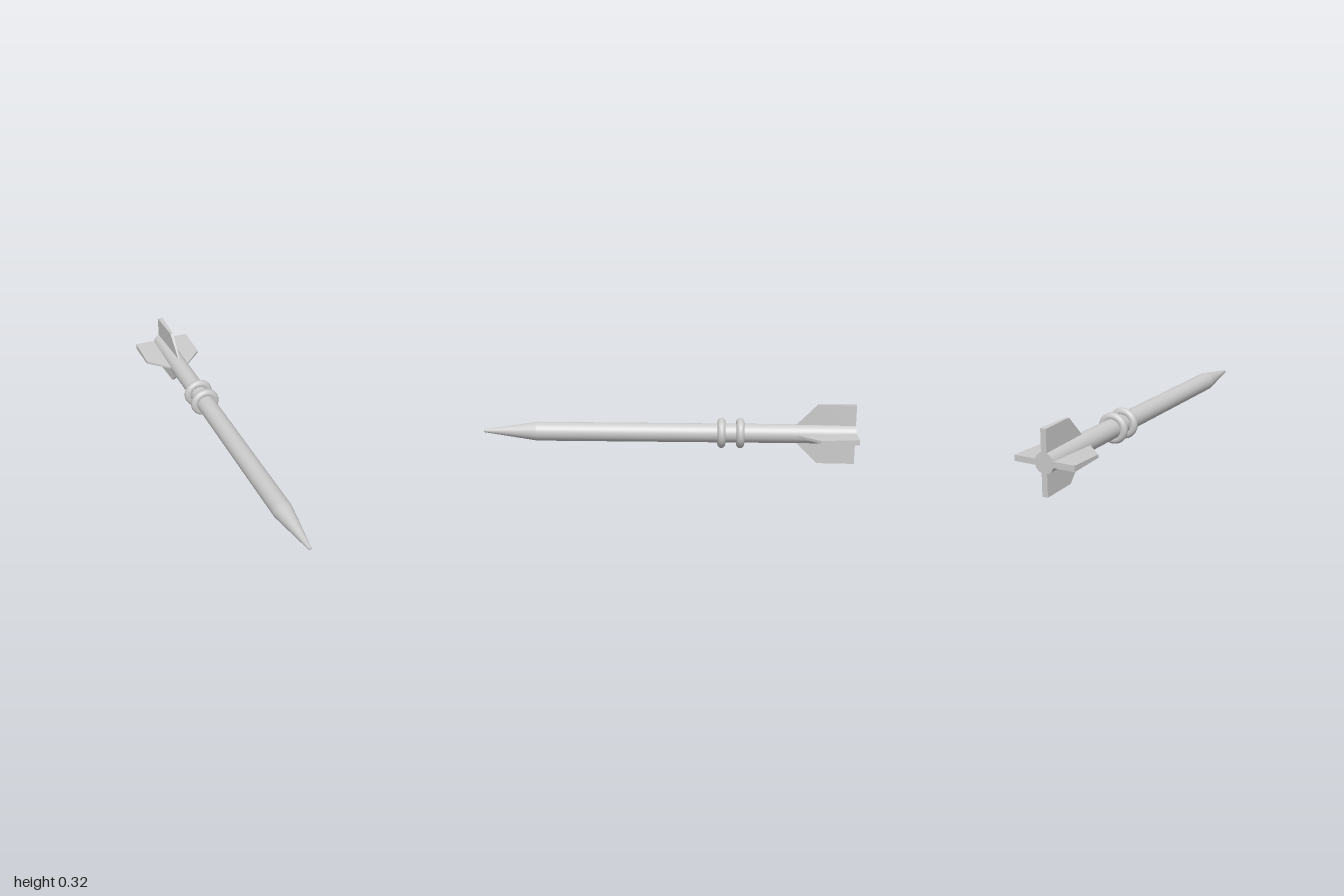
import * as THREE from 'three';

export function createModel() {
  const model = new THREE.Group();
  model.name = 'missile';
  const material = new THREE.MeshStandardMaterial({ color: 0xcccccc });
  const axisY = 0.1625;
  const bodyRadius = 0.051;

  const add = (name, geometry, z = 0) => {
    const mesh = new THREE.Mesh(geometry, material);
    mesh.name = name;
    mesh.position.set(0, axisY, z);
    model.add(mesh);
    return mesh;
  };

  // Round section along z, from zBack to zFront
  const addSection = (name, frontRadius, backRadius, zBack, zFront, open) => {
    const geometry = new THREE.CylinderGeometry(frontRadius, backRadius, zFront - zBack, 48, 1, open);
    add(name, geometry.rotateX(Math.PI / 2), (zBack + zFront) / 2);
  };

  addSection('body', bodyRadius, bodyRadius, -1, 0.71, false);
  addSection('noseCone', 0.008, bodyRadius, 0.71, 1, false);

  // Pair of raised collars
  for (const z of [-0.285, -0.386]) {
    add('collarRing', new THREE.TorusGeometry(0.06, 0.0215, 20, 48), z);
  }

  // Fin outline in (radius, z), thinning from the tail to the leading edge
  const outline = new THREE.Shape([
    new THREE.Vector2(0.03, -1),
    new THREE.Vector2(0.1625, -1),
    new THREE.Vector2(0.1625, -0.8),
    new THREE.Vector2(0.052, -0.69),
    new THREE.Vector2(0.03, -0.69),
  ]);
  const finGeometry = new THREE.ExtrudeGeometry(outline, { depth: 2, bevelEnabled: false });
  finGeometry.translate(0, 0, -1).rotateX(Math.PI / 2);
  const p = finGeometry.attributes.position;
  for (let i = 0; i < p.count; i++) {
    const halfThickness = 0.015 - 0.035 * (p.getZ(i) + 1);
    p.setY(i, p.getY(i) * halfThickness);
  }
  finGeometry.computeVertexNormals();

  // Four fins around the tail
  for (let i = 0; i < 4; i++) {
    add('tailFin', finGeometry).rotation.z = (i * Math.PI) / 2;
  }

  return model;
}
